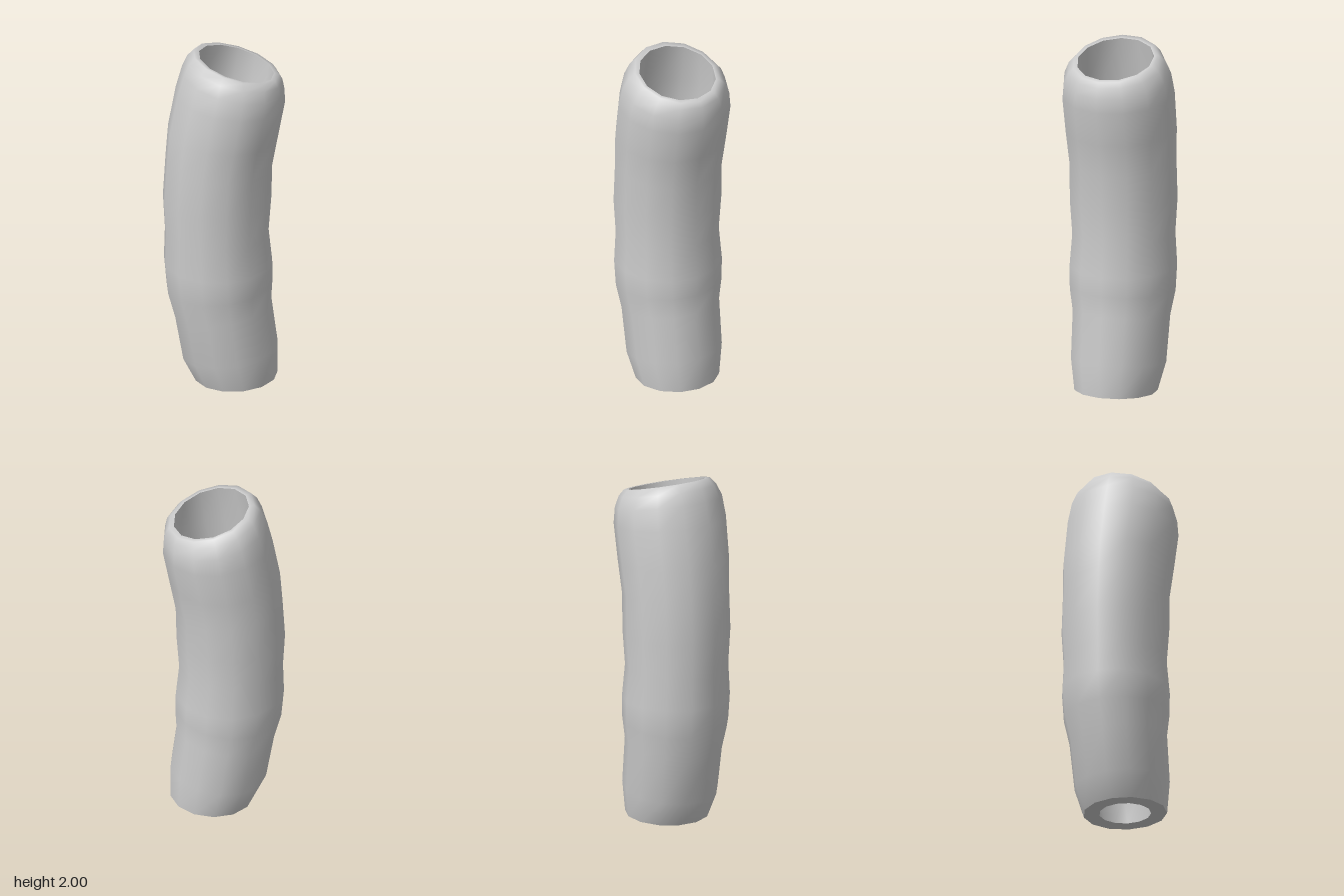
import * as THREE from 'three';

const SIDES = 13;
const FLAT = Math.cos(Math.PI / SIDES); // a flat side faces -x, a corner faces +x

// Ring: [left x, left y, right x, right y, half depth in z], bottom to top
const OUTER = [
  [-0.165, 0.0, 0.295, 0.02, 0.235],
  [-0.235, 0.14, 0.295, 0.21, 0.268],
  [-0.28, 0.4, 0.26, 0.48, 0.275],
  [-0.32, 0.55, 0.267, 0.6, 0.298],
  [-0.335, 0.72, 0.265, 0.71, 0.303],
  [-0.33, 0.9, 0.245, 0.9, 0.29],
  [-0.341, 1.1, 0.26, 1.1, 0.303],
  [-0.326, 1.35, 0.265, 1.3, 0.301],
  [-0.312, 1.53, 0.3, 1.49, 0.313],
  [-0.27, 1.76, 0.337, 1.69, 0.318],
  [-0.235, 1.89, 0.333, 1.77, 0.305],
  [-0.205, 1.96, 0.322, 1.83, 0.275],
  [-0.17, 2.0, 0.303, 1.86, 0.24],
];
const LIP = [-0.14, 1.99, 0.275, 1.867, 0.217];

// Bore rings, top to bottom
const BORE = [
  LIP,
  [-0.185, 1.76, 0.25, 1.67, 0.235],
  [-0.235, 1.5, 0.215, 1.46, 0.232],
  [-0.25, 1.3, 0.19, 1.27, 0.225],
  [-0.255, 1.1, 0.182, 1.1, 0.222],
  [-0.245, 0.9, 0.175, 0.9, 0.212],
  [-0.24, 0.7, 0.185, 0.7, 0.218],
  [-0.195, 0.42, 0.18, 0.48, 0.195],
  [-0.15, 0.16, 0.207, 0.21, 0.182],
  [-0.08, 0.004, 0.208, 0.016, 0.145],
];

// Joins consecutive tilted rings with quads
function loft(name, rings) {
  const positions = [];
  const index = [];
  rings.forEach(([xl, yl, xr, yr, depth], i) => {
    const cx = (xl + FLAT * xr) / (1 + FLAT);
    const cy = (yl + FLAT * yr) / (1 + FLAT);
    for (let j = 0; j < SIDES; j++) {
      const a = (j / SIDES) * Math.PI * 2;
      const c = Math.cos(a);
      positions.push(cx + (xr - cx) * c, cy + (yr - cy) * c, depth * Math.sin(a));
      if (i === rings.length - 1) continue;
      const p = i * SIDES + j;
      const q = i * SIDES + ((j + 1) % SIDES);
      index.push(p, p + SIDES, q, q, p + SIDES, q + SIDES);
    }
  });
  const geometry = new THREE.BufferGeometry();
  geometry.setAttribute('position', new THREE.Float32BufferAttribute(positions, 3));
  geometry.setIndex(index);
  geometry.computeVertexNormals();
  const mesh = new THREE.Mesh(
    geometry,
    new THREE.MeshStandardMaterial({ color: 0xcccccc, side: THREE.DoubleSide })
  );
  mesh.name = name;
  return mesh;
}

export function createModel() {
  const group = new THREE.Group();
  group.name = 'bentTube';
  // Outer wall rolling over into the lip, the inner wall, and the flat base ring
  group.add(loft('outerWall', [...OUTER, LIP]));
  group.add(loft('innerWall', BORE));
  group.add(loft('baseRing', [BORE[BORE.length - 1], OUTER[0]]));
  return group;
}
